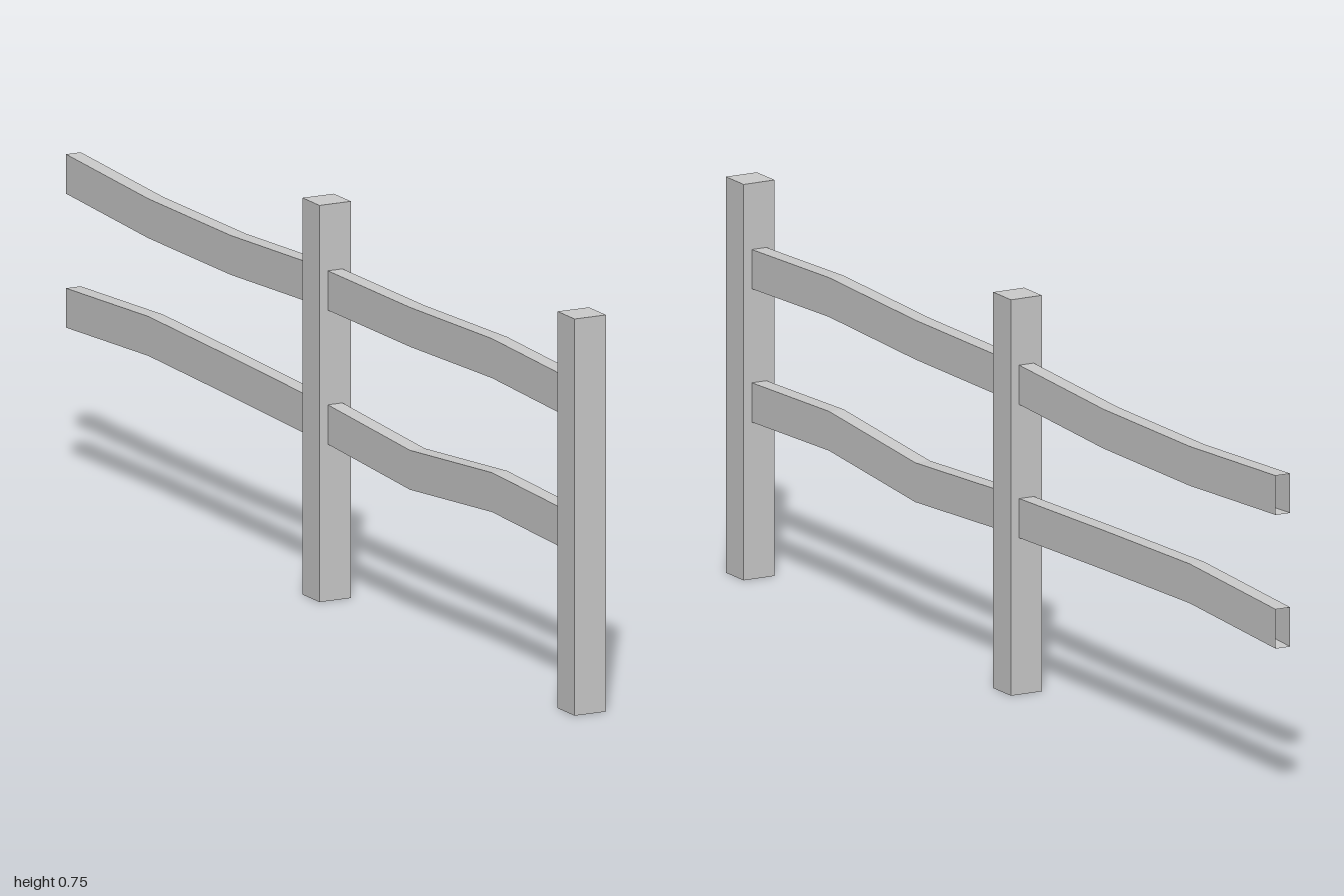
import * as THREE from 'three';

const material = new THREE.MeshStandardMaterial({
  color: 0xcccccc, flatShading: true, side: THREE.DoubleSide,
});

// Box without the listed sides (0..5 = +x, -x, +y, -y, +z, -z)
function openBox(w, h, d, depthSegments, openSides) {
  const geometry = new THREE.BoxGeometry(w, h, d, 1, 1, depthSegments);
  const all = Array.from(geometry.index.array);
  const kept = geometry.groups
    .filter((g) => !openSides.includes(g.materialIndex))
    .flatMap((g) => all.slice(g.start, g.start + g.count));
  geometry.setIndex(kept);
  geometry.clearGroups();
  return geometry;
}

const POST = { width: 0.066, height: 0.755 };
const RAIL = { width: 0.031, height: 0.075 };

// Square post, open underneath
function makePost(name, z) {
  const post = new THREE.Mesh(openBox(POST.width, POST.height, POST.width, 1, [3]), material);
  post.name = name;
  post.position.set(0, POST.height / 2, z);
  return post;
}

// Wavy hollow rail: centre heights are spaced evenly from zStart to zEnd
function makeRail(name, zStart, zEnd, heights) {
  const length = zStart - zEnd;
  const segments = heights.length - 1;
  const geometry = openBox(RAIL.width, RAIL.height, length, segments, [4, 5]);
  const p = geometry.attributes.position;
  for (let i = 0; i < p.count; i++) {
    const k = Math.round((0.5 - p.getZ(i) / length) * segments);
    p.setY(i, p.getY(i) + heights[k]);
  }
  geometry.computeVertexNormals();
  const rail = new THREE.Mesh(geometry, material);
  rail.name = name;
  rail.position.z = (zStart + zEnd) / 2;
  return rail;
}

export function createModel() {
  const fence = new THREE.Group();
  fence.name = 'fence';

  fence.add(makePost('frontPost', 0.967), makePost('middlePost', -0.02));

  // Front bay, then rear bay
  fence.add(
    makeRail('frontUpperRail', 0.967, 0.012, [0.59, 0.601, 0.591, 0.591]),
    makeRail('frontLowerRail', 0.967, 0.012, [0.336, 0.346, 0.319, 0.336]),
    makeRail('rearUpperRail', -0.045, -1, [0.591, 0.576, 0.576, 0.591]),
    makeRail('rearLowerRail', -0.045, -1, [0.336, 0.345, 0.352, 0.336]),
  );
  return fence;
}
